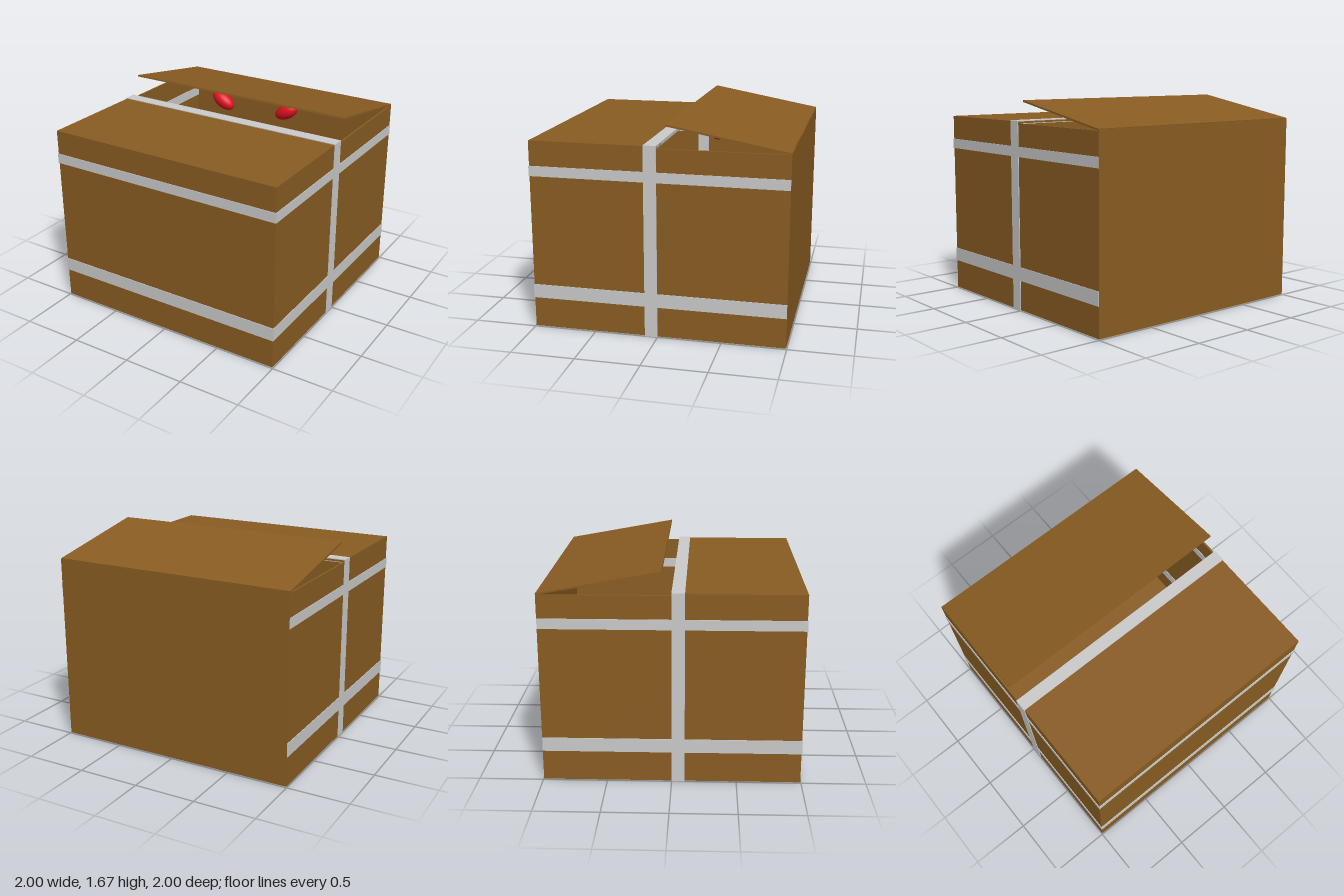
import * as THREE from 'three';

export function createModel() {
  const model = new THREE.Group();
  model.name = 'crate';
  const cardboard = new THREE.MeshStandardMaterial({ color: 0x8a5d22 });
  const tape = new THREE.MeshStandardMaterial({ color: 0xcccccc });
  const red = new THREE.MeshStandardMaterial({ color: 0xe01020 });

  // Box given by its lower and upper limits on each axis
  function slab(name, material, [x0, x1], [y0, y1], [z0, z1], parent = model) {
    const mesh = new THREE.Mesh(new THREE.BoxGeometry(x1 - x0, y1 - y0, z1 - z0), material);
    mesh.position.set((x0 + x1) / 2, (y0 + y1) / 2, (z0 + z1) / 2);
    mesh.name = name;
    parent.add(mesh);
    return mesh;
  }
  const sides = [['left', 1], ['right', -1]];
  const span = (s, a, b) => (s > 0 ? [a, b] : [-b, -a]);

  // Open-topped carton, front half of the top closed
  slab('floor', cardboard, [-0.995, 0.995], [0.005, 0.02], [-0.995, 0.995]);
  slab('frontWall', cardboard, [-0.995, 0.995], [0.02, 1.49], [0.98, 0.995]);
  slab('backWall', cardboard, [-0.995, 0.995], [0.02, 1.5], [-0.995, -0.98]);
  for (const [label, s] of sides) {
    slab(label + 'Wall', cardboard, span(s, 0.98, 0.995), [0.02, 1.49], [-0.98, 0.98]);
  }
  slab('closedFlap', cardboard, [-0.995, 0.995], [1.49, 1.505], [0, 0.995]);

  // Raised rear flap, hinged on the back wall
  const hinge = new THREE.Group();
  hinge.name = 'openFlap';
  hinge.position.set(0, 1.497, -0.99);
  hinge.rotation.x = -Math.atan2(0.168, 0.92);
  slab('flapPanel', cardboard, [-0.995, 0.995], [-0.007, 0.007], [0, 0.935], hinge);
  model.add(hinge);

  // Horizontal tape bands around the front and sides
  for (const [label, heights] of [['lower', [0.245, 0.355]], ['upper', [1.23, 1.31]]]) {
    slab(label + 'FrontBand', tape, [-1, 1], heights, [0.975, 1]);
    for (const [side, s] of sides) {
      slab(label + side + 'Band', tape, span(s, 0.975, 1), heights, [-0.994, 0.975]);
    }
  }

  // Vertical strap over the top and down both sides
  slab('topStrap', tape, [-1.001, 1.001], [1.485, 1.511], [0, 0.1]);
  for (const [side, s] of sides) {
    slab(side + 'Strap', tape, span(s, 0.974, 1.001), [0, 1.485], [0, 0.1]);
  }

  // Slanted red eyes peering out of the opening
  const eyeGeometry = new THREE.SphereGeometry(1, 32, 20);
  for (const [name, x, y, z, tilt] of [
    ['rightEye', -0.235, 1.525, -0.265, -0.52],
    ['leftEye', 0.34, 1.511, -0.335, 0.52],
  ]) {
    const eye = new THREE.Mesh(eyeGeometry, red);
    eye.name = name;
    eye.scale.set(0.11, 0.062, 0.062);
    eye.position.set(x, y, z);
    eye.rotation.z = tilt;
    model.add(eye);
  }
  return model;
}
